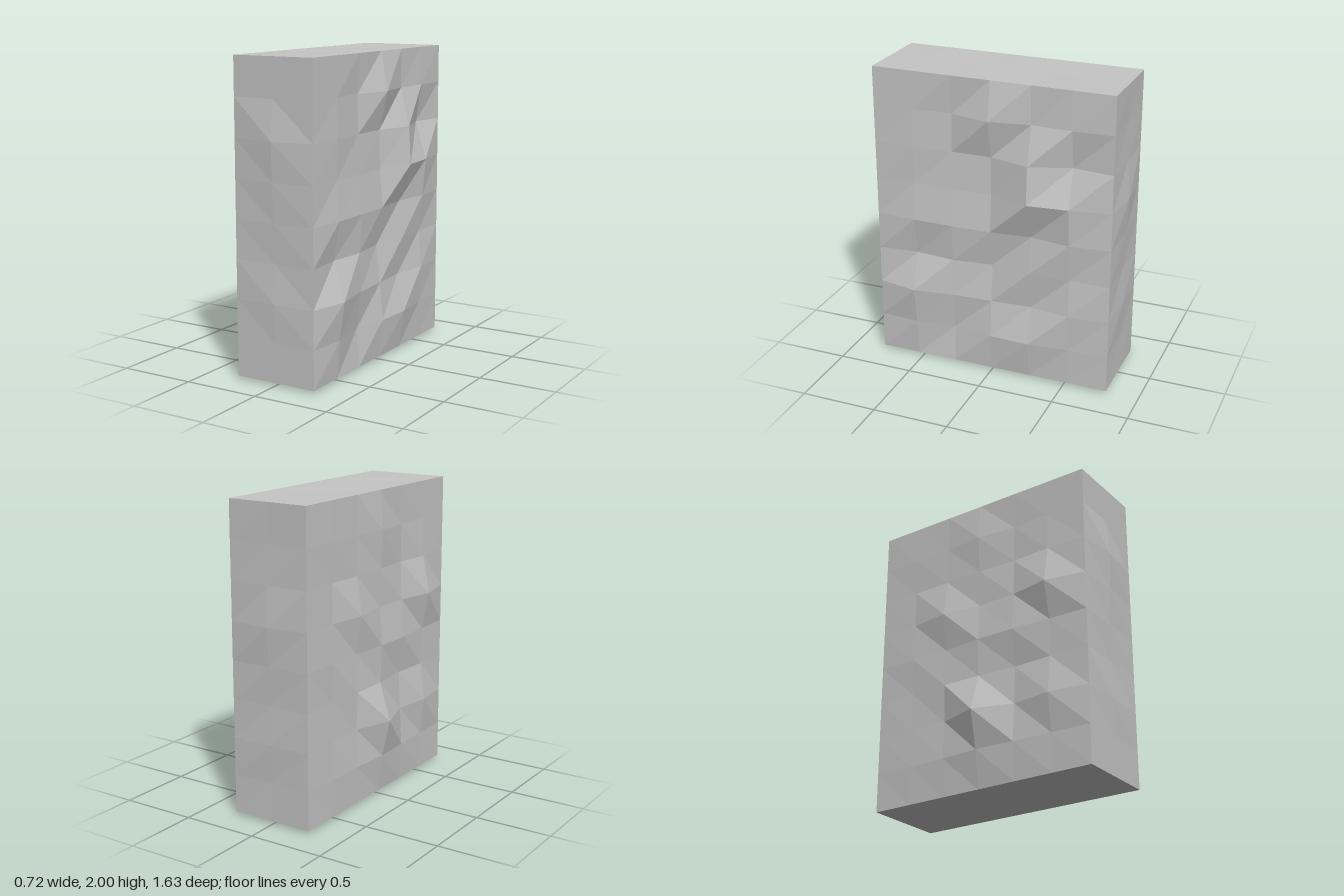
import * as THREE from 'three';

// Bump heights of the inner grid points on each face, in thousandths, listed
// row by row as seen when facing that side. flip turns the cell diagonals.
const BUMPS = [
  { // +x side, from top row to bottom row, columns from +z to -z
    cols: 6, rows: 8, flip: false,
    h: [
      [0, -15, 48, -2, 8],
      [5, -10, -10, 60, -30],
      [0, 0, -5, 75, 48],
      [18, 22, 16, -10, 26],
      [-22, 3, -28, 17, 0],
      [55, 12, 0, -18, 22],
      [20, -18, 22, 36, 8],
    ],
  },
  { // -x side, columns from -z to +z
    cols: 6, rows: 8, flip: true,
    h: [
      [3, 0, 20, -5, 0],
      [-3, 0, 5, -8, 8],
      [0, 37, 0, 5, 56],
      [5, 0, 20, 22, 5],
      [-5, 10, 10, -12, 0],
      [0, 0, 85, 0, 35],
      [5, 10, 30, 15, 5],
    ],
  },
  { cols: 2, rows: 6, flip: false, h: [[0], [-4], [3], [-3], [3]] },            // top
  { cols: 2, rows: 6, flip: true, h: [[3], [12], [0], [10], [20]] },            // bottom
  { cols: 2, rows: 8, flip: true, h: [[0], [25], [12], [3], [-5], [8], [0]] },  // front
  { cols: 2, rows: 8, flip: false, h: [[-4], [3], [22], [5], [-5], [8], [-4]] }, // back
];

export function createModel() {
  const group = new THREE.Group();
  group.name = 'stoneBlock';

  const stone = new THREE.MeshStandardMaterial({ color: 0xc5c5c5, flatShading: true });
  stone.name = 'grey stone';

  // Gridded block whose inner face points are pushed along the face normal
  const geometry = new THREE.BoxGeometry(0.555, 1.977, 1.58, 2, 8, 6);
  const pos = geometry.attributes.position;
  const normal = geometry.attributes.normal;
  const p = new THREE.Vector3();
  const n = new THREE.Vector3();
  const triangles = [];
  let index = 0;
  for (const { cols, rows, flip, h } of BUMPS) {
    for (let r = 0; r <= rows; r++) {
      for (let c = 0; c <= cols; c++, index++) {
        // Two triangles for the cell to the lower right of this point
        if (r < rows && c < cols) {
          const topLeft = index;
          const topRight = index + 1;
          const bottomLeft = index + cols + 1;
          const bottomRight = bottomLeft + 1;
          if (flip) triangles.push(topLeft, bottomLeft, bottomRight, topLeft, bottomRight, topRight);
          else triangles.push(topLeft, bottomLeft, topRight, bottomLeft, bottomRight, topRight);
        }
        // Only points inside the face border are moved
        if (r === 0 || c === 0 || r === rows || c === cols) continue;
        p.fromBufferAttribute(pos, index);
        n.fromBufferAttribute(normal, index);
        p.addScaledVector(n, h[r - 1][c - 1] / 1000);
        pos.setXYZ(index, p.x, p.y, p.z);
      }
    }
  }
  geometry.setIndex(triangles);
  geometry.translate(0.005, 0.02 + 1.977 / 2, 0);

  // Flat facets
  const faceted = geometry.toNonIndexed();
  faceted.clearGroups();
  faceted.computeVertexNormals();

  const block = new THREE.Mesh(faceted, stone);
  block.name = 'roughStone';
  group.add(block);
  return group;
}
